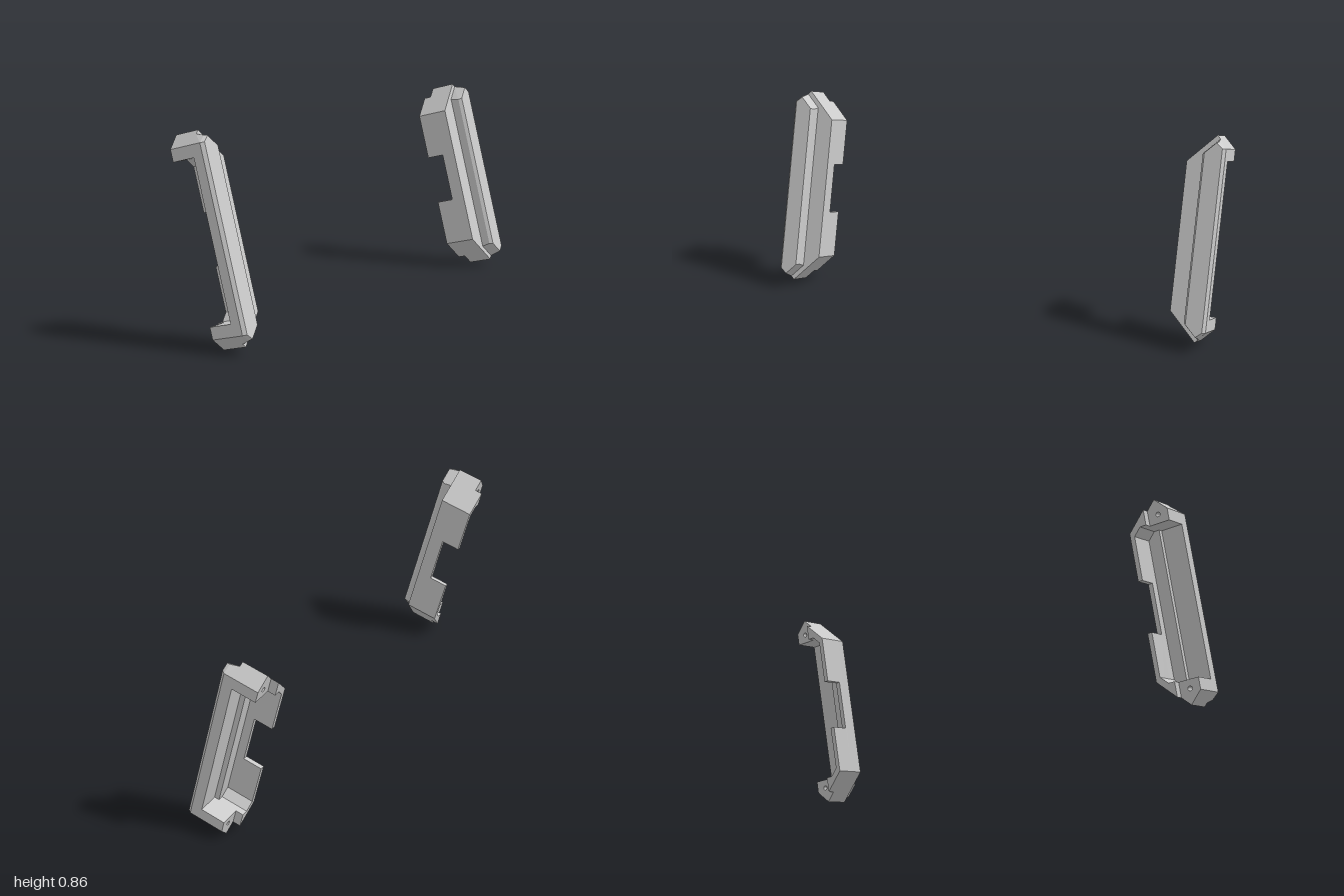
import * as THREE from 'three';
import { ConvexGeometry } from 'three/addons/geometries/ConvexGeometry.js';

const TILT = THREE.MathUtils.degToRad(15);
const MID = 0.422; // height of the piece's middle along its tilted axis

// One tilted end cover. Profiles are [v along the length, z depth], stacked along u (outward).
function createCover(side) {
  const cover = new THREE.Group();
  const mat = new THREE.MeshStandardMaterial({ color: 0xcccccc, flatShading: true });

  const vAxis = new THREE.Vector3(-Math.sin(TILT), Math.cos(TILT), 0);
  const uAxis = new THREE.Vector3(Math.cos(TILT), Math.sin(TILT), 0);
  const frame = new THREE.Matrix4().makeBasis(vAxis, new THREE.Vector3(0, 0, 1), uAxis);
  frame.setPosition(vAxis.clone().multiplyScalar(MID));

  const add = (geo, name) => {
    geo.applyMatrix4(frame);
    const mesh = new THREE.Mesh(geo, mat);
    mesh.name = name;
    cover.add(mesh);
  };
  const band = (name, profile, u0, u1, hole) => {
    const shape = new THREE.Shape(profile.map(([v, z]) => new THREE.Vector2(v, z * side)));
    if (hole) {
      shape.holes.push(new THREE.Path().absarc(hole[0], hole[1] * side, 0.01, 0, Math.PI * 2));
    }
    const geo = new THREE.ExtrudeGeometry(shape, { depth: u1 - u0, bevelEnabled: false, curveSegments: 6 });
    geo.translate(0, 0, u0);
    add(geo, name);
  };
  const flip = (pts) => pts.map(([v, z]) => [-v, z]);
  // closes a half profile by mirroring it across the middle
  const both = (pts) => [...pts, ...flip(pts).reverse()];

  const outer = [[0.313, 0.83], [0.431, 0.948], [0.379, 1]];
  const cavity = [[0.328, 1], [0.328, 0.882], [0.296, 0.85]];

  // jaws at both ends, with the notch left open between them
  const lip = [[0.109, 0.83], [0.313, 0.83], [0.393, 0.91], [0.328, 0.91], [0.328, 0.882], [0.296, 0.85], [0.109, 0.85]];
  const jaw = [[0.109, 0.83], ...outer, ...cavity, [0.109, 0.85]];
  for (const s of [1, -1]) {
    const half = (pts) => (s > 0 ? pts : flip(pts));
    band('jawLip', half(lip), 0.01, 0.044);
    band('jaw', half(jaw), 0.044, 0.093, [s * 0.365, 0.955]);
  }

  // channel behind the notch, stepped groove and closed back
  band('channel', both([...outer, ...cavity]), 0.093, 0.13);
  band('groove', both([...outer, [0.328, 1], [0.328, 0.905]]), 0.13, 0.152);
  band('back', both(outer), 0.152, 0.158);

  // raised outer plate with bevelled rim: [u, [v, z]...]
  const sections = [
    [0.156, [0.379, 1], [0.417, 0.962], [0.36, 0.905]],
    [0.198, [0.379, 1], [0.405, 0.968], [0.352, 0.905]],
    [0.212, [0.379, 0.988], [0.401, 0.962], [0.355, 0.915]],
  ];
  const pts = [];
  for (const [u, ...ring] of sections) {
    for (const [v, z] of both(ring)) pts.push(new THREE.Vector3(v, z * side, u));
  }
  add(new ConvexGeometry(pts), 'outerPlate');
  return cover;
}

export function createModel() {
  const model = new THREE.Group();
  model.name = 'coverPair';
  for (const [name, side] of [['frontCover', 1], ['backCover', -1]]) {
    const cover = createCover(side);
    cover.name = name;
    model.add(cover);
  }
  return model;
}
